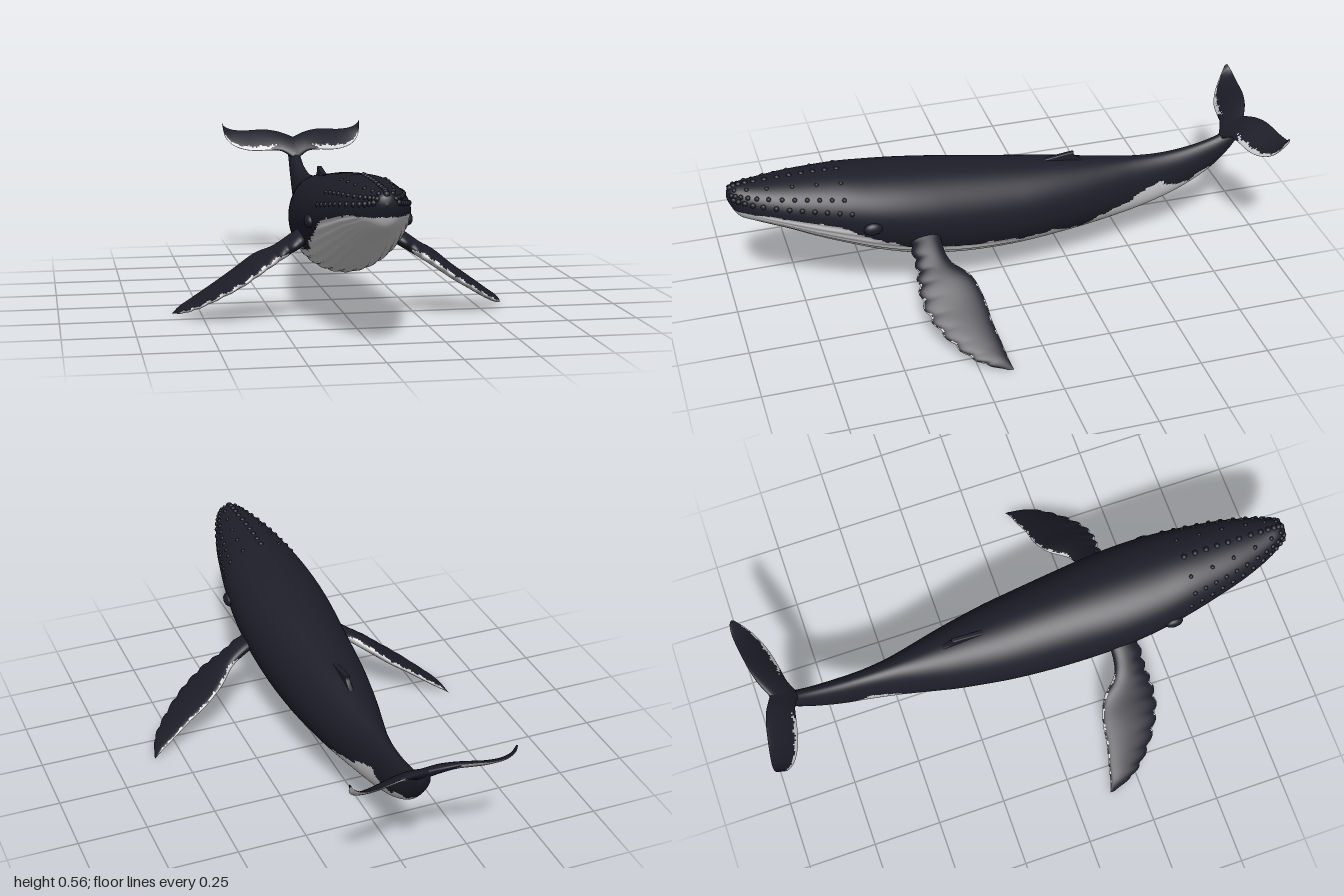
import * as THREE from 'three';
import { mergeGeometries } from 'three/addons/utils/BufferGeometryUtils.js';

const dark = new THREE.MeshStandardMaterial({ color: 0x1e1e2a });
dark.name = 'dark skin';
const pale = new THREE.MeshStandardMaterial({ color: 0xd4d4d6 });
pale.name = 'pale skin';

// Body stations: z, top, bottom, half width, height of widest point, edge of pale belly
const BODY = [
  [1.0, 0.505, 0.505, 0, 0.505, 0.47],
  [0.99, 0.535, 0.475, 0.03, 0.505, 0.468],
  [0.96, 0.548, 0.425, 0.055, 0.49, 0.462],
  [0.9, 0.55, 0.4, 0.085, 0.475, 0.458],
  [0.8, 0.553, 0.36, 0.118, 0.455, 0.442],
  [0.7, 0.553, 0.31, 0.14, 0.435, 0.42],
  [0.6, 0.55, 0.265, 0.158, 0.415, 0.385],
  [0.5, 0.54, 0.222, 0.171, 0.395, 0.325],
  [0.4, 0.53, 0.187, 0.177, 0.375, 0.275],
  [0.3, 0.518, 0.163, 0.177, 0.355, 0.25],
  [0.2, 0.505, 0.147, 0.172, 0.335, 0.238],
  [0.1, 0.49, 0.139, 0.165, 0.32, 0.228],
  [0.0, 0.475, 0.137, 0.156, 0.31, 0.218],
  [-0.1, 0.46, 0.14, 0.145, 0.305, 0.212],
  [-0.2, 0.446, 0.147, 0.129, 0.3, 0.205],
  [-0.3, 0.43, 0.155, 0.11, 0.295, 0.2],
  [-0.4, 0.415, 0.165, 0.086, 0.295, 0.235],
  [-0.5, 0.403, 0.18, 0.063, 0.295, 0.27],
  [-0.6, 0.398, 0.205, 0.048, 0.305, 0.3],
  [-0.7, 0.405, 0.243, 0.04, 0.325, 0.28],
  [-0.8, 0.425, 0.3, 0.031, 0.365, 0.32],
  [-0.87, 0.452, 0.365, 0.026, 0.41, 0.36],
  [-0.91, 0.478, 0.425, 0.022, 0.45, 0.4],
  [-0.94, 0.5, 0.5, 0, 0.5, 0.45],
];

// Blade stations: x, leading z, leading y, trailing z, trailing y, thickness
const FLIPPER = [
  [0.12, 0.385, 0.32, 0.27, 0.34, 0.05],
  [0.19, 0.38, 0.275, 0.28, 0.295, 0.05],
  [0.25, 0.38, 0.235, 0.265, 0.255, 0.045],
  [0.31, 0.388, 0.195, 0.205, 0.22, 0.045],
  [0.38, 0.38, 0.145, 0.178, 0.165, 0.04],
  [0.45, 0.345, 0.1, 0.17, 0.115, 0.035],
  [0.52, 0.288, 0.055, 0.155, 0.065, 0.03],
  [0.57, 0.225, 0.026, 0.145, 0.03, 0.022],
  [0.6, 0.15, 0.005, 0.135, 0.005, 0],
];
const FLUKE = [
  [0.0, -0.84, 0.42, -0.935, 0.505, 0.035],
  [0.05, -0.865, 0.455, -0.96, 0.523, 0.03],
  [0.1, -0.875, 0.46, -0.975, 0.533, 0.024],
  [0.15, -0.885, 0.457, -0.985, 0.533, 0.02],
  [0.2, -0.9, 0.46, -0.993, 0.53, 0.016],
  [0.25, -0.925, 0.477, -0.998, 0.535, 0.012],
  [0.28, -0.952, 0.51, -0.994, 0.55, 0.008],
  [0.29, -0.975, 0.56, -0.985, 0.566, 0],
];

// Smooth interpolation through the stations of a table
function sample(table, t) {
  const n = table.length - 1;
  const i = Math.min(Math.floor(t), n - 1);
  const f = t - i;
  const [a, b, c, d] = [i - 1, i, i + 1, i + 2].map((k) => table[Math.max(0, Math.min(n, k))]);
  return b.map((v, k) => v + 0.5 * f * (c[k] - a[k] + f * (2 * a[k] - 5 * v + 4 * c[k] - d[k]
    + f * (3 * (v - c[k]) + d[k] - a[k]))));
}

// Closed tube of rings; each face takes the dark or pale material by a rule
function loft(name, tMax, rows, cols, pointAt, isPale, side = 1) {
  const pos = [];
  const faces = [[], []];
  for (let i = 0; i <= rows; i++) {
    for (let j = 0; j < cols; j++) {
      const p = pointAt((i / rows) * tMax, (side * j * Math.PI * 2) / cols);
      pos.push(p.x * side, p.y, p.z);
    }
  }
  for (let i = 0; i < rows; i++) {
    for (let j = 0; j < cols; j++) {
      const k = (j + 1) % cols;
      const [a, b, c, d] = [i * cols + j, (i + 1) * cols + j, i * cols + k, (i + 1) * cols + k];
      const t = ((i + 0.5) / rows) * tMax;
      const angle = (side * (j + 0.5) * Math.PI * 2) / cols;
      faces[isPale(t, angle) ? 1 : 0].push(a, b, d, a, d, c);
    }
  }
  const geo = new THREE.BufferGeometry();
  geo.setAttribute('position', new THREE.Float32BufferAttribute(pos, 3));
  geo.setIndex([...faces[0], ...faces[1]]);
  geo.addGroup(0, faces[0].length, 0);
  geo.addGroup(faces[0].length, faces[1].length, 1);
  geo.computeVertexNormals();
  const mesh = new THREE.Mesh(geo, [dark, pale]);
  mesh.name = name;
  return mesh;
}

const ragged = (s) => Math.sin(s * 31) * 0.5 + Math.sin(s * 73 + 1) * 0.3 + Math.sin(s * 127 + 2) * 0.2;

function bodyPoint(t, a) {
  const [z, top, bottom, w, mid] = sample(BODY, t);
  const s = Math.sin(a);
  return new THREE.Vector3(w * Math.cos(a), mid + (s > 0 ? top - mid : mid - bottom) * s, z);
}

function bellyIsPale(t, a) {
  const p = bodyPoint(t, a);
  const rough = p.z > 0.55 ? 0.004 : 0.014;
  return p.z > -0.87 && p.z < 0.985 && p.y < sample(BODY, t)[5] + rough * ragged(p.z);
}

// Throat pleats are shallow grooves running along the pale belly
function pleatedPoint(t, a) {
  const p = bodyPoint(t, a);
  const fade = THREE.MathUtils.smoothstep(p.z, -0.15, 0.2) * (1 - THREE.MathUtils.smoothstep(p.z, 0.88, 0.97));
  if (Math.sin(a) < 0 && p.y < sample(BODY, t)[5]) {
    const inset = 1 - fade * (0.012 + 0.012 * Math.cos(a * 30));
    p.x *= inset;
    p.y = 0.4 + (p.y - 0.4) * inset;
  }
  return p;
}

// Rounded blade between a leading and a trailing edge
function blade(table, span, scallop) {
  return (t, a) => {
    const [x, zl, yl, zt, yt, h] = sample(table, t);
    const lead = new THREE.Vector3(x, yl, zl);
    const trail = new THREE.Vector3(x, yt, zt);
    const chord = lead.clone().sub(trail);
    const normal = chord.clone().cross(span).normalize();
    const p = lead.add(trail).multiplyScalar(0.5);
    p.addScaledVector(chord, 0.5 * Math.cos(a)).addScaledVector(normal, 0.5 * h * Math.sin(a));
    p.z += scallop * Math.max(0, Math.cos(a)) * Math.abs(Math.sin(t * 4.5)) * Math.min(1, h * 40);
    return p;
  };
}

export function createModel() {
  const whale = new THREE.Group();
  whale.name = 'whale';
  whale.add(loft('body', BODY.length - 1, 184, 144, pleatedPoint, bellyIsPale));

  // Flippers and tail flukes, mirrored
  const flipper = blade(FLIPPER, new THREE.Vector3(0.41, -0.29, 0), 0.012);
  const fluke = blade(FLUKE, new THREE.Vector3(1, 0.1, 0), 0);
  const flipperPale = (t, a) => t > 1.7 + 0.2 * Math.sin(a * 5) && t < 7.8
    && Math.sin(a) < 0.25 + 0.2 * ragged(t * 0.3);
  const flukePale = (t, a) => t > 1.6 + 0.4 * Math.sin(a * 4) && t < 6.6
    && (Math.sin(a) < -0.1 || Math.cos(a) > 0.72 + 0.15 * ragged(t * 0.2));
  for (const [label, side] of [['left', 1], ['right', -1]]) {
    whale.add(loft(label + 'Flipper', FLIPPER.length - 1, 96, 48, flipper, flipperPale, side));
    whale.add(loft(label + 'Fluke', FLUKE.length - 1, 70, 40, fluke, flukePale, side));

    // Brow bulge around the eye
    const brow = new THREE.Mesh(new THREE.SphereGeometry(1, 20, 14), dark);
    brow.name = label + 'Brow';
    brow.scale.set(0.018, 0.024, 0.034);
    brow.position.set(side * 0.168, 0.385, 0.52);
    whale.add(brow);
  }

  // Small hooked dorsal fin
  const shape = new THREE.Shape();
  shape.moveTo(-0.1, 0.44);
  shape.quadraticCurveTo(-0.2, 0.458, -0.265, 0.464);
  shape.quadraticCurveTo(-0.262, 0.445, -0.31, 0.422);
  shape.lineTo(-0.1, 0.42);
  const finGeo = new THREE.ExtrudeGeometry(shape, {
    depth: 0.008, bevelThickness: 0.005, bevelSize: 0.004, bevelSegments: 3, curveSegments: 10,
  });
  finGeo.translate(0, 0, -0.004).rotateY(-Math.PI / 2);
  const dorsal = new THREE.Mesh(finGeo, dark);
  dorsal.name = 'dorsalFin';
  whale.add(dorsal);

  // Rows of knobs over the snout and along the upper lip
  const knobs = [];
  const addKnob = (t, a, r) => {
    const p = bodyPoint(t, a);
    const inset = 1 - (0.3 * r) / 0.1;
    knobs.push(new THREE.SphereGeometry(r, 10, 8).translate(p.x * inset, p.y - r * 0.35 * Math.sin(a), Math.min(p.z, 0.988)));
  };
  for (let i = 0; i < 12; i++) {
    const t = 1.3 + i * 0.42;
    addKnob(t, Math.PI / 2, 0.011);
    for (const s of [1, -1]) {
      addKnob(t, Math.PI / 2 + s * 0.95, 0.009);
      addKnob(t + 0.2, Math.PI / 2 + s * 1.3, 0.01);
      if (i % 2) addKnob(t, Math.PI / 2 + s * 0.5, 0.008);
    }
  }
  const snout = new THREE.Mesh(mergeGeometries(knobs), dark);
  snout.name = 'snoutKnobs';
  whale.add(snout);
  return whale;
}
